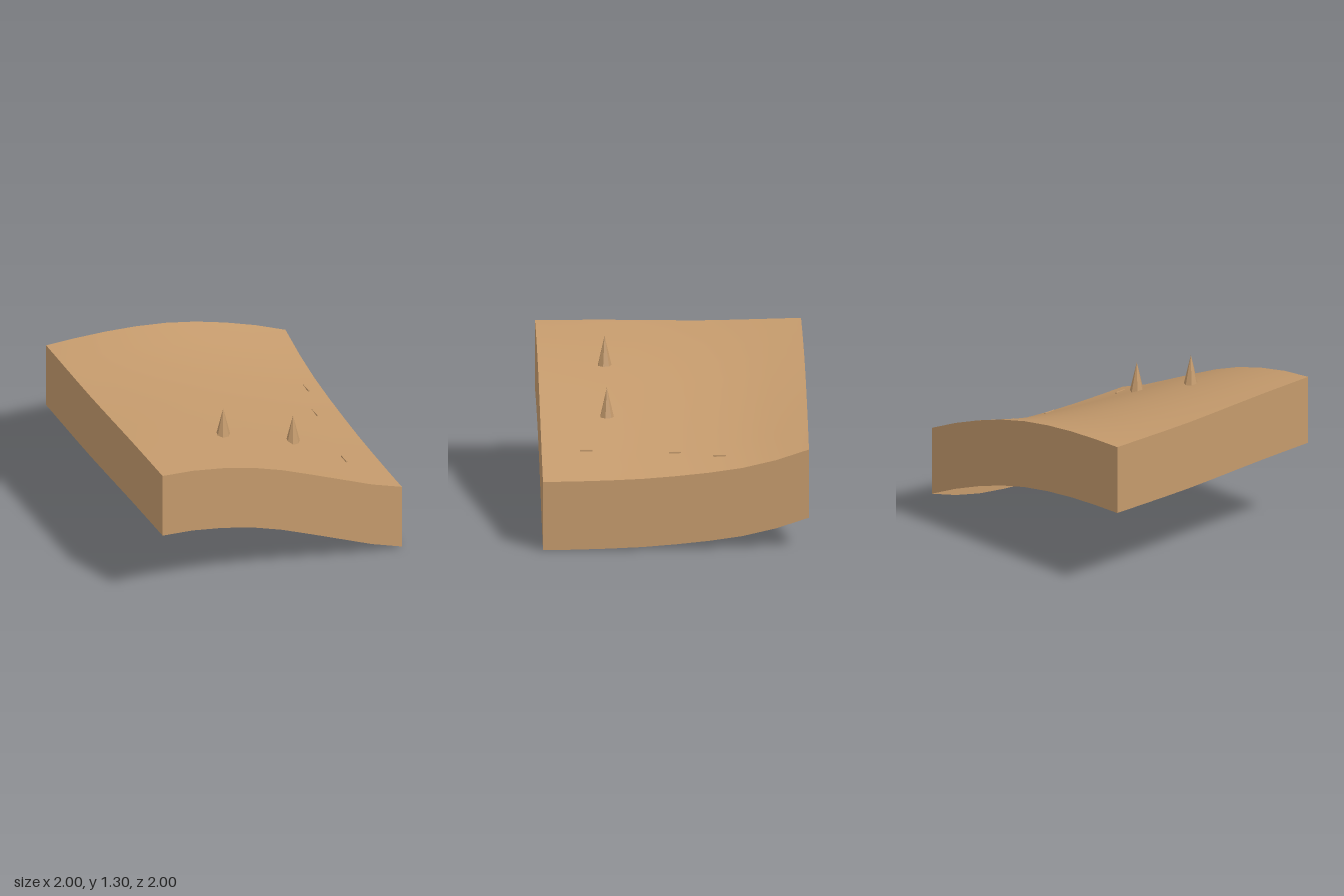
import * as THREE from 'three';

const N = 8;        // grid cells per side
const DEPTH = 0.535; // height of the side walls

// Edge heights, sampled evenly: along x for front/back, from back to front for left/right
const FRONT = [1.203, 1.178, 1.13, 1.063, 0.97, 0.858, 0.743, 0.628, 0.535];
const BACK = [1.203, 1.198, 1.185, 1.16, 1.12, 1.06, 0.98, 0.885, 0.772];
const HIGH = [1.203, 1.198, 1.193, 1.19, 1.193, 1.198, 1.202, 1.203, 1.203];
const LOW = [0.772, 0.69, 0.632, 0.597, 0.572, 0.553, 0.543, 0.537, 0.535];

// Ground height blended from the four edges
function groundHeight(i, j) {
  const u = i / N, v = j / N;
  const rows = BACK[i] * (1 - v) + FRONT[i] * v;
  const cols = HIGH[j] * (1 - u) + LOW[j] * u;
  const corners = (BACK[0] * (1 - u) + BACK[N] * u) * (1 - v) +
    (FRONT[0] * (1 - u) + FRONT[N] * u) * v;
  return rows + cols - corners;
}

const at = (k) => -1 + (2 * k) / N;

// Curved top sheet
function groundGeometry() {
  const geo = new THREE.PlaneGeometry(2, 2, N, N).rotateX(-Math.PI / 2);
  const pos = geo.attributes.position;
  for (let j = 0; j <= N; j++) {
    for (let i = 0; i <= N; i++) pos.setY(j * (N + 1) + i, groundHeight(i, j));
  }
  geo.computeVertexNormals();
  return geo;
}

// Vertical strip under one edge; point(k) gives [x, z], left to right seen from outside
function wallGeometry(heights, point) {
  const geo = new THREE.PlaneGeometry(1, 1, N, 1);
  const pos = geo.attributes.position;
  for (let k = 0; k <= N; k++) {
    const [x, z] = point(k);
    pos.setXYZ(k, x, heights[k], z);
    pos.setXYZ(N + 1 + k, x, heights[k] - DEPTH, z);
  }
  geo.computeVertexNormals();
  return geo;
}

export function createModel() {
  const group = new THREE.Group();
  const earth = new THREE.MeshStandardMaterial({ color: 0xc49a6c, side: THREE.DoubleSide });
  earth.name = 'tanEarth';
  const rock = new THREE.MeshStandardMaterial({ color: 0xc49a6c, flatShading: true });
  rock.name = 'tanRock';

  const add = (name, geo, material) => {
    const mesh = new THREE.Mesh(geo, material);
    mesh.name = name;
    group.add(mesh);
    return mesh;
  };

  // Hollow terrain block, open below
  add('ground', groundGeometry(), earth);
  add('frontWall', wallGeometry(FRONT, (k) => [at(k), 1]), earth);
  add('backWall', wallGeometry([...BACK].reverse(), (k) => [-at(k), -1]), earth);
  add('lowWall', wallGeometry([...LOW].reverse(), (k) => [1, -at(k)]), earth);
  add('highWall', wallGeometry(HIGH, (k) => [-1, at(k)]), earth);

  // Spikes standing on the slope
  for (const [x, y] of [[-0.25, 1.073], [0.333, 0.843]]) {
    const spike = add('spike', new THREE.ConeGeometry(0.053, 0.23, 7), rock);
    spike.position.set(x, y + 0.115, 0.5);
    spike.rotation.y = Math.PI;
  }

  // Small slats lying across the lower slope
  for (const [x, z] of [[0.68, 0.665], [0.76, 0], [0.85, -0.335]]) {
    add('slat', new THREE.BoxGeometry(0.01, 0.012, 0.093), rock).position.set(x, 0.684, z);
  }
  return group;
}
